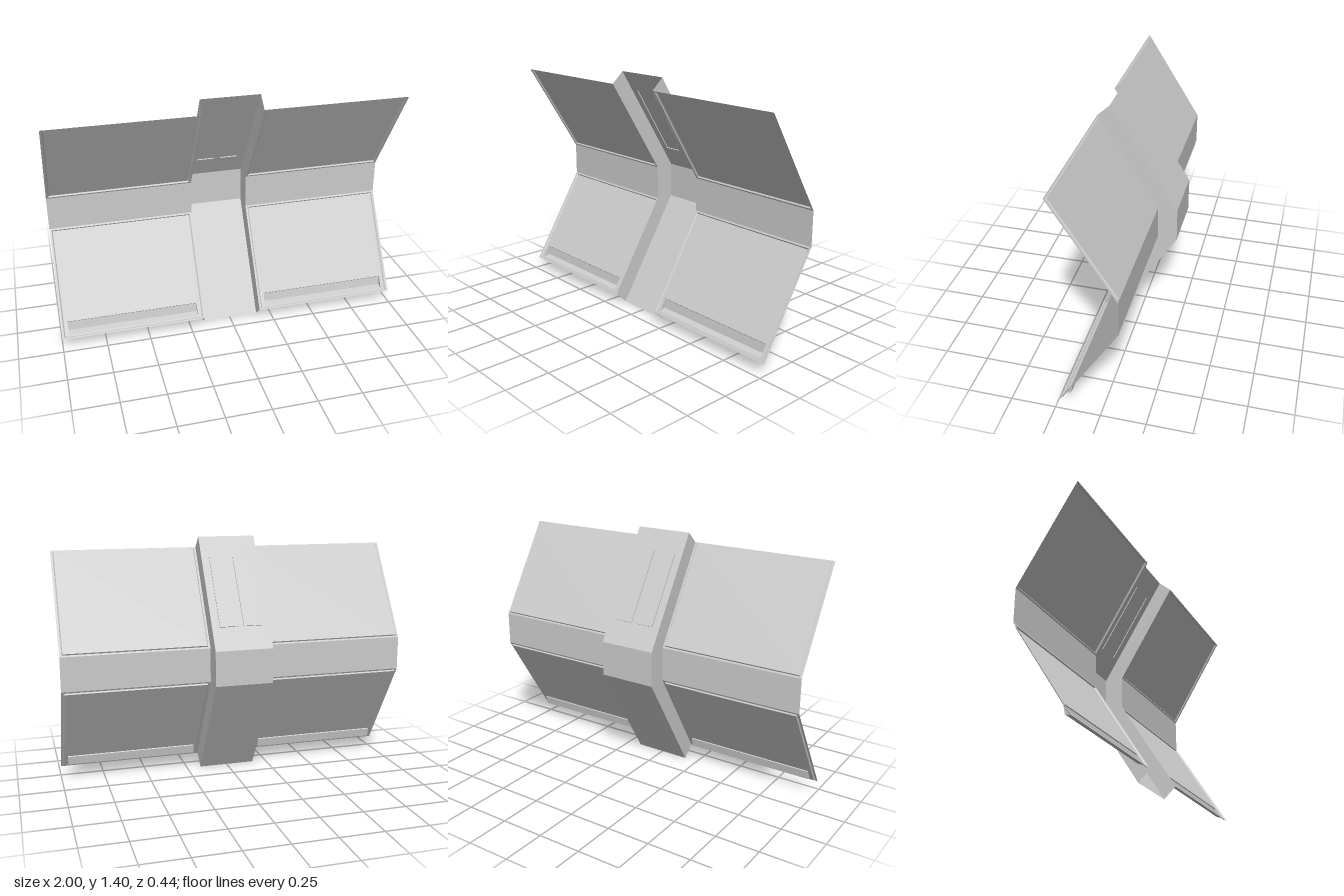
import * as THREE from 'three';

const material = new THREE.MeshStandardMaterial({ color: 0xcccccc, flatShading: true, side: THREE.DoubleSide });

// Side profile as [y, z], mirrored about MID: wing sheet line and recessed spine line
const MID = 0.7;
const WING = { bend: [0.797, -0.112], tip: [1.335, 0.222] };
const SPINE = { bend: [0.8, -0.222], tip: [1.4, 0.152] };
const SPINE_X = 0.167;

const flip = ([y, z]) => [2 * MID - y, z];
const at = (x, [y, z]) => [x, y, z];

function quadMesh(name, quads) {
  const geometry = new THREE.BufferGeometry();
  const points = quads.flatMap(([a, b, c, d]) => [a, b, c, a, c, d]).flat();
  geometry.setAttribute('position', new THREE.Float32BufferAttribute(points, 3));
  geometry.computeVertexNormals();
  const mesh = new THREE.Mesh(geometry, material);
  mesh.name = name;
  return mesh;
}

// Flat frame on a slanted sheet: x across, s from bend to tip, n out of the back
function slantFrame(line, side) {
  const dy = line.tip[0] - line.bend[0];
  const dz = line.tip[1] - line.bend[1];
  const length = Math.hypot(dy, dz);
  const u = [dy / length, dz / length];
  const place = (x, s, n) => {
    const p = [line.bend[0] + u[0] * s + u[1] * n, line.bend[1] + u[1] * s - u[0] * n];
    return at(x, side > 0 ? p : flip(p));
  };
  return { place, length };
}

// Nested rectangles [x0, x1, s0, s1, n at s0, n at s1], joined ring to ring; the last is filled
function nested(place, rects) {
  const rings = rects.map(([x0, x1, s0, s1, n0, n1 = n0]) => [
    place(x0, s0, n0), place(x1, s0, n0), place(x1, s1, n1), place(x0, s1, n1),
  ]);
  const quads = [rings[rings.length - 1]];
  for (let r = 0; r + 1 < rings.length; r++) {
    for (let i = 0; i < 4; i++) {
      const j = (i + 1) % 4;
      quads.push([rings[r][i], rings[r][j], rings[r + 1][j], rings[r + 1][i]]);
    }
  }
  return quads;
}

function makeWing(name, x0, x1) {
  const wing = new THREE.Group();
  wing.name = name;
  for (const side of [1, -1]) {
    const { place, length } = slantFrame(WING, side);
    // Thin rim with a shallow pressed panel
    const rects = [
      [x0, x1, 0, length, 0],
      [x0 + 0.012, x1 - 0.012, 0.01, length - 0.008, 0],
      [x0 + 0.018, x1 - 0.018, 0.014, length - 0.012, 0.008],
    ];
    // Long tray pocket near the lower edge
    if (side < 0) {
      rects.push([x0 + 0.04, x1 - 0.04, 0.536, 0.612, 0.008]);
      rects.push([x0 + 0.04, x1 - 0.04, 0.538, 0.585, 0.013, 0.031]);
    }
    wing.add(quadMesh(side > 0 ? 'upperPanel' : 'lowerPanel', nested(place, rects)));
  }
  // Upright strip between the two panels
  const top = WING.bend, bottom = flip(WING.bend);
  wing.add(quadMesh('waistStrip', [[at(x0, bottom), at(x1, bottom), at(x1, top), at(x0, top)]]));
  return wing;
}

function makeSpine() {
  const spine = new THREE.Group();
  spine.name = 'spine';

  // Upper back with two embossed slots
  const upper = slantFrame(SPINE, 1);
  for (const side of [-1, 1]) {
    const rect = (a, b, s0, s1, n) => [side * a, side * b, s0, s1, n];
    spine.add(quadMesh('upperBackWithSlot', nested(upper.place, [
      rect(0, SPINE_X, 0, upper.length, 0),
      rect(0.017, 0.122, 0.141, 0.575, 0),
      rect(0.017, 0.122, 0.141, 0.575, 0.006),
    ])));
  }

  // Lower back and upright middle
  const lower = slantFrame(SPINE, -1);
  spine.add(quadMesh('lowerBack', nested(lower.place, [[-SPINE_X, SPINE_X, 0, lower.length, 0]])));
  const top = SPINE.bend, bottom = flip(SPINE.bend);
  spine.add(quadMesh('middleBack', [
    [at(-SPINE_X, bottom), at(SPINE_X, bottom), at(SPINE_X, top), at(-SPINE_X, top)],
  ]));

  // Side walls joining the recessed back to the wings
  const inner = [WING.tip, WING.bend, flip(WING.bend), flip(WING.tip)];
  const outer = [SPINE.tip, SPINE.bend, flip(SPINE.bend), flip(SPINE.tip)];
  for (const x of [-SPINE_X, SPINE_X]) {
    const quads = [0, 1, 2].map((i) => [
      at(x, inner[i]), at(x, inner[i + 1]), at(x, outer[i + 1]), at(x, outer[i]),
    ]);
    spine.add(quadMesh(x > 0 ? 'leftWall' : 'rightWall', quads));
  }
  return spine;
}

export function createModel() {
  const model = new THREE.Group();
  model.name = 'foldedPanel';
  model.add(makeWing('leftWing', SPINE_X, 1), makeWing('rightWing', -1, -SPINE_X), makeSpine());
  return model;
}
